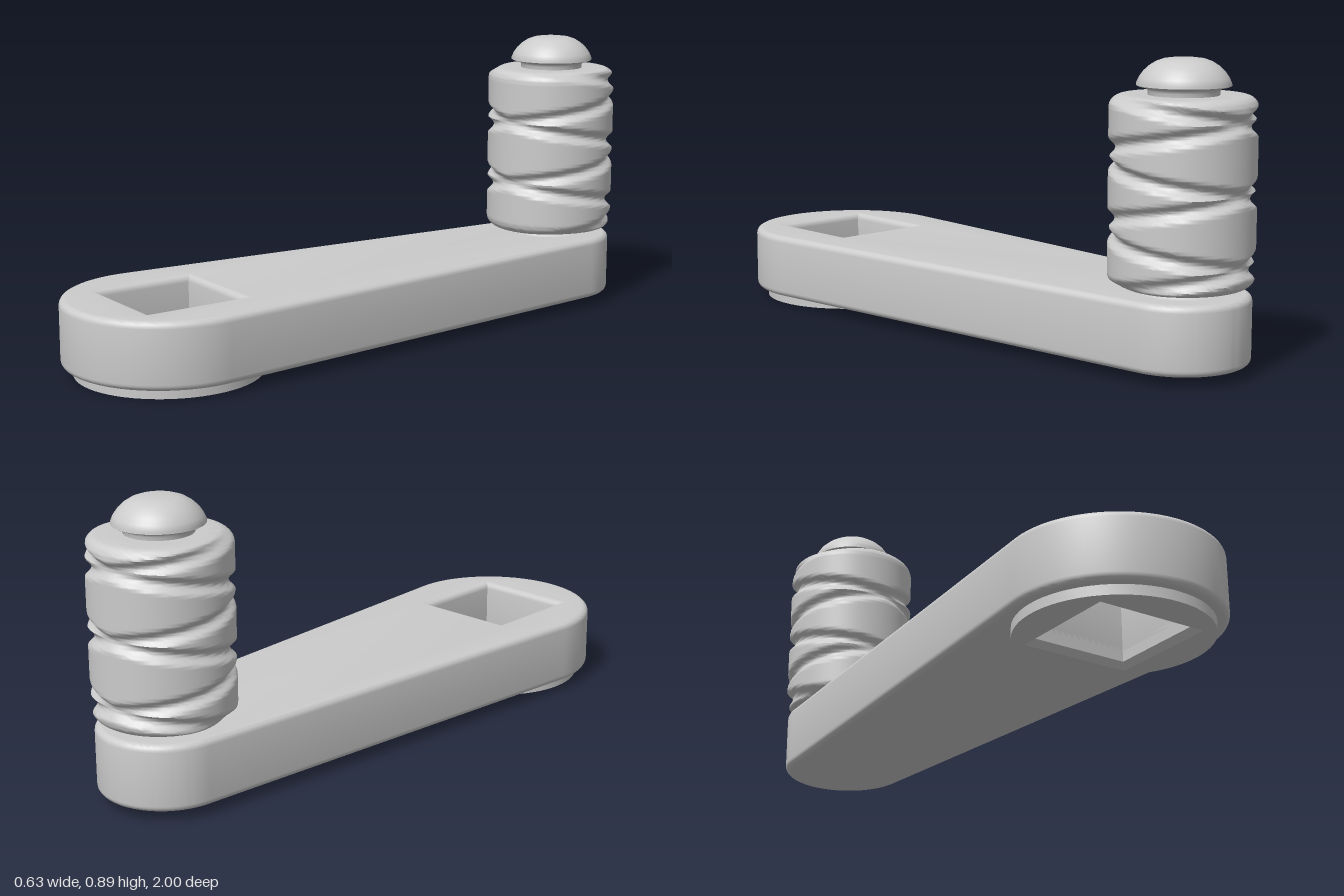
import * as THREE from 'three';
import { toCreasedNormals } from 'three/addons/utils/BufferGeometryUtils.js';

const BIG = 0.685, SMALL = -0.79; // z of the socket end and of the grip axis
const material = new THREE.MeshStandardMaterial({ color: 0xcccccc });

function addPart(group, name, geometry, mat = material) {
  const mesh = new THREE.Mesh(geometry, mat);
  mesh.name = name;
  group.add(mesh);
  return mesh;
}

function squareHole(h, y) {
  const p = new THREE.Path();
  p.moveTo(-h, y - h);
  p.lineTo(-h, y + h);
  p.lineTo(h, y + h);
  p.lineTo(h, y - h);
  p.closePath();
  return p;
}

const points = (list) => list.map(([r, y]) => new THREE.Vector2(r, y));

// Tapered arm: two arcs joined by their tangents, rounded edges, square hole
function armGeometry() {
  const R = 0.315, r = 0.2, bevel = 0.02;
  const a = Math.asin((R - r) / (BIG - SMALL));
  const shape = new THREE.Shape();
  shape.absarc(0, BIG, R, -a, Math.PI + a, false);
  shape.absarc(0, SMALL, r, Math.PI + a, 2 * Math.PI - a, false);
  shape.closePath();
  shape.holes.push(squareHole(0.155, BIG - 0.005));
  const geo = new THREE.ExtrudeGeometry(shape, {
    depth: 0.2 - 2 * bevel, curveSegments: 32, bevelEnabled: true,
    bevelSize: bevel, bevelThickness: bevel, bevelOffset: -bevel, bevelSegments: 5,
  });
  geo.rotateX(Math.PI / 2).translate(0, 0.23 - bevel, 0);
  return toCreasedNormals(geo, 0.6);
}

// Round boss under the socket end
function bossGeometry() {
  const shape = new THREE.Shape();
  shape.absarc(0, BIG, 0.28, 0, Math.PI * 2, false);
  shape.holes.push(squareHole(0.173, BIG - 0.005));
  const geo = new THREE.ExtrudeGeometry(shape, { depth: 0.04, bevelEnabled: false, curveSegments: 32 });
  geo.rotateX(Math.PI / 2).translate(0, 0.04, 0);
  return toCreasedNormals(geo, 0.6);
}

// Grip: rounded cylinder with two opposite helical grooves that cross front and back
function gripGeometry() {
  const R = 0.207, y0 = 0.25, y1 = 0.785, c = 0.035, pitch = 0.2;
  const profile = [[0.08, y0], [0.13, y0]];
  for (let i = 0; i <= 8; i++) {
    const t = (i / 8) * Math.PI / 2;
    profile.push([R - c + c * Math.sin(t), y0 + c - c * Math.cos(t)]);
  }
  for (let i = 1; i < 90; i++) profile.push([R, y0 + c + (y1 - y0 - 2 * c) * i / 90]);
  for (let i = 0; i <= 8; i++) {
    const t = (i / 8) * Math.PI / 2;
    profile.push([R - c + c * Math.cos(t), y1 - c + c * Math.sin(t)]);
  }
  profile.push([0.13, y1], [0.08, y1]);
  const geo = new THREE.LatheGeometry(points(profile), 96);
  const pos = geo.attributes.position;
  const groove = (d) => {
    const h = Math.abs(d - pitch * Math.round(d / pitch)) / 0.027;
    return h < 1 ? Math.cos(h * Math.PI / 2) ** 1.5 : 0;
  };
  for (let i = 0; i < pos.count; i++) {
    const x = pos.getX(i), y = pos.getY(i), z = pos.getZ(i);
    const r = Math.hypot(x, z);
    const turn = pitch * (Math.atan2(x, z) - 0.1) / (2 * Math.PI);
    const depth = Math.max(groove(y - 0.617 - turn), groove(y - 0.617 + turn));
    const fade = Math.max(0, (r - 0.15) / (R - 0.15));
    const k = 1 - 0.02 * depth * fade / r;
    pos.setXYZ(i, x * k, y, z * k);
  }
  return toCreasedNormals(geo, 0.8);
}

export function createModel() {
  const model = new THREE.Group();
  model.name = 'crankHandle';

  addPart(model, 'arm', armGeometry());
  addPart(model, 'socketBoss', bossGeometry());

  // Square lining of the lower socket with its chamfered mouth
  const flat = new THREE.MeshStandardMaterial({ color: 0xcccccc, flatShading: true, side: THREE.DoubleSide });
  const lining = new THREE.LatheGeometry(
    points([[0.155, 0.06], [0.155, 0.018], [0.173, 0]].map(([h, y]) => [h * Math.SQRT2, y])),
    4, Math.PI / 4);
  addPart(model, 'socketLining', lining, flat).position.z = BIG - 0.005;

  // Handle assembly on the small end
  const handle = new THREE.Group();
  handle.name = 'handle';
  handle.position.z = SMALL;
  model.add(handle);

  addPart(handle, 'grip', gripGeometry());

  // Flared collar between arm and grip
  const collar = new THREE.LatheGeometry(
    points([[0.122, 0.229], [0.112, 0.232], [0.104, 0.238], [0.1, 0.246], [0.1, 0.26]]), 48);
  addPart(handle, 'collar', toCreasedNormals(collar, 0.8));

  // Spindle neck and domed cap
  const cap = new THREE.LatheGeometry(points([
    [0.1, 0.775], [0.1, 0.795], [0.104, 0.803], [0.112, 0.808], [0.127, 0.808],
    [0.132, 0.811], [0.132, 0.817], [0.125, 0.833], [0.113, 0.85], [0.097, 0.865],
    [0.078, 0.877], [0.058, 0.884], [0.036, 0.887], [0, 0.887],
  ]), 48);
  addPart(handle, 'cap', toCreasedNormals(cap, 0.8));

  return model;
}
